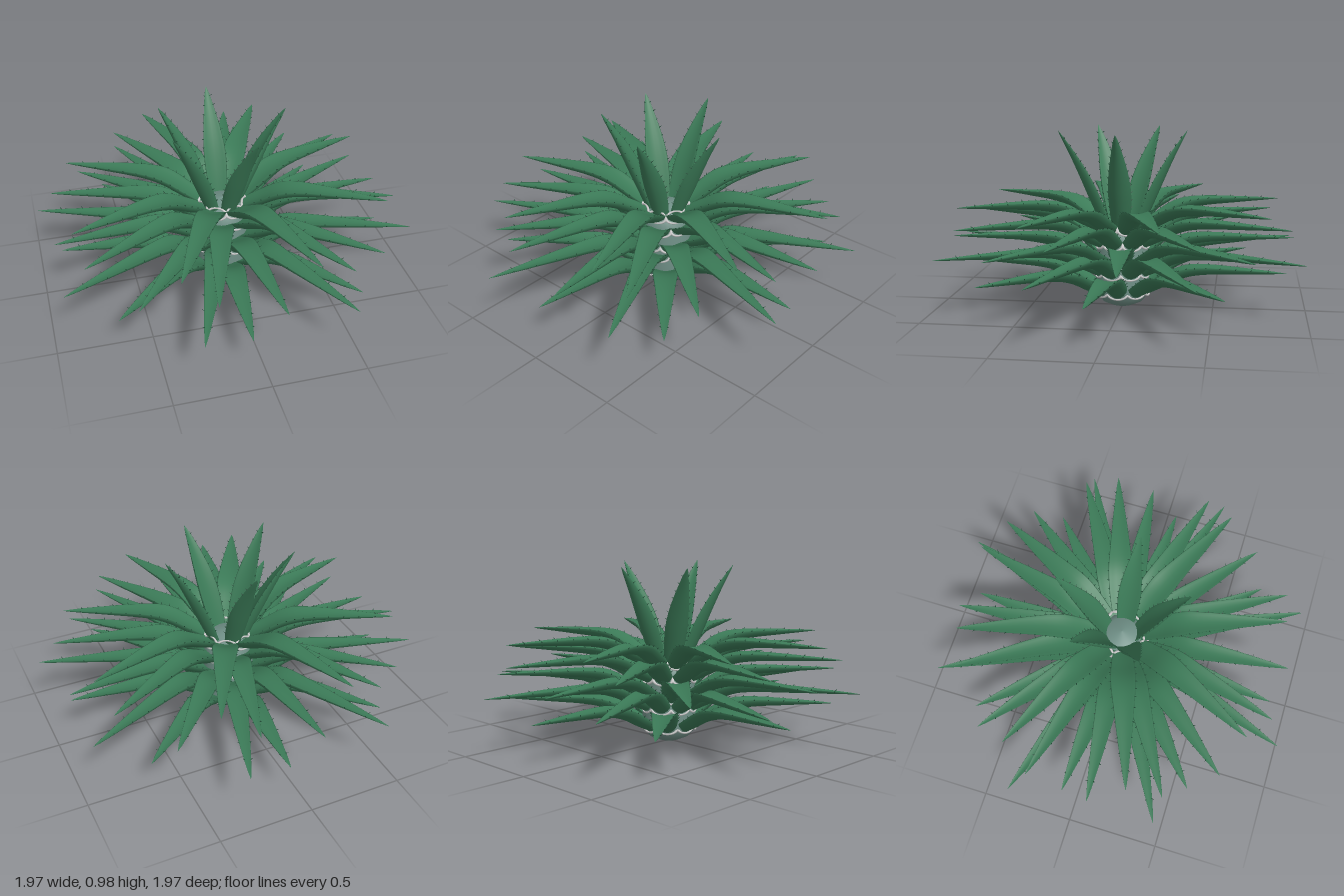
import * as THREE from 'three';
import { mergeGeometries } from 'three/addons/utils/BufferGeometryUtils.js';

const leafMat = new THREE.MeshStandardMaterial({ color: 0x3b7a57, side: THREE.DoubleSide });
const spineMat = new THREE.MeshStandardMaterial({ color: 0x24503a });
const coreMat = new THREE.MeshStandardMaterial({ color: 0x6f8f86 });
const collarMat = new THREE.MeshStandardMaterial({ color: 0xcccccc });

const SEGMENTS = 22, SIDES = 16;

// Frame of the leaf at s: position, tangent and upper-side normal (in the xy plane)
function frame(path, s) {
  const p = path.getPoint(s), t = path.getTangent(s);
  return { p, t, n: new THREE.Vector2(-t.y, t.x) };
}

// Half width along the leaf: narrow base, full middle, long pointed tip
function halfWidth(s, w) {
  const base = 0.68 + 0.32 * Math.sin(Math.min(s / 0.4, 1) * Math.PI / 2);
  const tip = s < 0.4 ? 1 : 1 - Math.pow((s - 0.4) / 0.6, 1.6);
  return Math.max(0.0006, w * base * tip);
}

// Fleshy leaf: rounded underside, channelled top, raised edges
function leafGeometry(path, w) {
  const pos = [], index = [];
  for (let i = 0; i <= SEGMENTS; i++) {
    const s = i / SEGMENTS, { p, n } = frame(path, s), hw = halfWidth(s, w);
    for (let j = 0; j < SIDES; j++) {
      const a = j / SIDES * Math.PI * 2, c = Math.cos(a), q = Math.sin(a);
      const h = hw * (0.3 * c * c + (q < 0 ? 0.55 * q : 0.12 * q));
      pos.push(p.x + n.x * h, p.y + n.y * h, hw * c);
      if (i < SEGMENTS) {
        const k = i * SIDES + j, l = i * SIDES + (j + 1) % SIDES;
        index.push(k, k + SIDES, l, l, k + SIDES, l + SIDES);
      }
    }
  }
  const g = new THREE.BufferGeometry();
  g.setAttribute('position', new THREE.Float32BufferAttribute(pos, 3));
  g.setIndex(index);
  g.computeVertexNormals();
  return g;
}

// Row of tiny thorns along both edges
function spineGeometry(path, w) {
  const list = [], up = new THREE.Vector3(0, 1, 0);
  for (let k = 0; k < 11; k++) {
    const s = 0.2 + k * 0.07, { p, t, n } = frame(path, s), hw = halfWidth(s, w);
    for (const side of [-1, 1]) {
      const dir = new THREE.Vector3(n.x * 0.6 + t.x * 0.4, n.y * 0.6 + t.y * 0.4, side * 0.8).normalize();
      const g = new THREE.ConeGeometry(0.0035, 0.016, 4);
      g.applyQuaternion(new THREE.Quaternion().setFromUnitVectors(up, dir));
      g.translate(p.x + n.x * hw * 0.3 + dir.x * 0.005, p.y + n.y * hw * 0.3 + dir.y * 0.005, side * hw + dir.z * 0.005);
      list.push(g);
    }
  }
  return mergeGeometries(list);
}

// Ring of identical leaves, given as angles measured from +x towards +z
function addRing(group, name, points, w, angles, collar) {
  const path = new THREE.SplineCurve(points.map(([x, y]) => new THREE.Vector2(x, y)));
  const leafGeo = leafGeometry(path, w), spineGeo = spineGeometry(path, w);
  for (const deg of angles) {
    const leaf = new THREE.Group();
    leaf.name = name;
    const blade = new THREE.Mesh(leafGeo, leafMat);
    blade.name = 'leafBlade';
    const spines = new THREE.Mesh(spineGeo, spineMat);
    spines.name = 'edgeSpines';
    leaf.add(blade, spines);
    if (collar) {
      // Pale scar hugging the leaf base
      const { p, t } = frame(path, 0.06);
      const ring = new THREE.Mesh(new THREE.TorusGeometry(0.046, 0.007, 6, 20), collarMat);
      ring.name = 'leafCollar';
      ring.position.set(p.x, p.y - 0.004, 0);
      ring.rotation.set(0, Math.PI / 2, Math.atan2(t.y, t.x), 'ZYX');
      ring.scale.set(1.15, 0.7, 1);
      leaf.add(ring);
    }
    leaf.rotation.y = -deg * Math.PI / 180;
    group.add(leaf);
  }
}

export function createModel() {
  const plant = new THREE.Group();
  plant.name = 'succulentPlant';

  // Bulbous stem
  const profile = [[0, 0], [0.06, 0.008], [0.11, 0.03], [0.14, 0.065], [0.15, 0.1], [0.145, 0.2],
    [0.14, 0.36], [0.125, 0.42], [0.08, 0.46], [0, 0.475]];
  const core = new THREE.Mesh(
    new THREE.LatheGeometry(profile.map(([x, y]) => new THREE.Vector2(x, y)), 32), coreMat);
  core.name = 'stem';
  plant.add(core);

  // Five tiers of eight arching leaves: [tip height, tip radius, first angle]
  const tiers = [[0.22, 0.895, 4.5], [0.325, 1.04, 18.8], [0.385, 0.937, 39.4], [0.487, 0.942, 15.2], [0.573, 0.895, 26.7]];
  for (const [y, r, first] of tiers) {
    const points = [[0.11, y - 0.135], [0.2, y - 0.085], [0.32, y - 0.02], [0.45, y + 0.003],
      [0.45 + (r - 0.45) * 0.5, y + 0.004], [r, y]];
    addRing(plant, 'archingLeaf', points, 0.068, Array.from({ length: 8 }, (_, i) => first + i * 45), true);
  }

  // Upright young leaves at the crown
  addRing(plant, 'crownLeaf', [[0.07, 0.4], [0.125, 0.55], [0.19, 0.7], [0.265, 0.84], [0.35, 0.975]],
    0.062, [-1, 73, 149, 210, 270], false);

  return plant;
}
